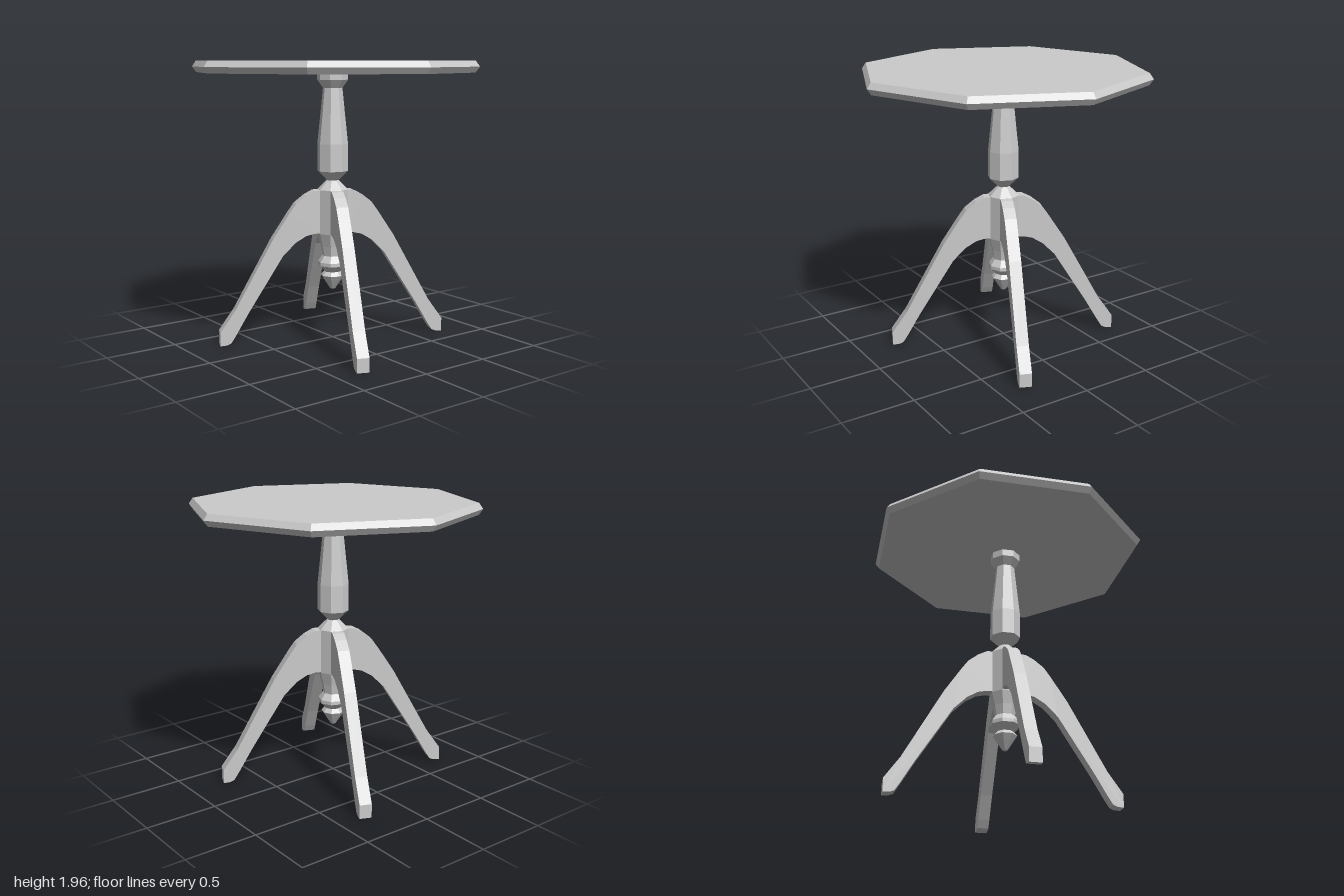
import * as THREE from 'three';

const material = new THREE.MeshStandardMaterial({ color: 0xcccccc, flatShading: true });

// Eight-sided turned part; profile runs bottom to top as [radius, height]
function turned(name, profile) {
  const points = profile.map(([r, y]) => new THREE.Vector2(r, y));
  const mesh = new THREE.Mesh(new THREE.LatheGeometry(points, 8), material);
  mesh.name = name;
  return mesh;
}

export function createModel() {
  const model = new THREE.Group();
  model.name = 'pedestalTable';

  // Octagonal top with a pointed edge
  model.add(turned('tableTop', [[0, 1.88], [0.972, 1.88], [1, 1.92], [0.972, 1.96], [0, 1.96]]));

  // Column with the finial below and the baluster above
  model.add(turned('column', [
    [0, 0.357], [0.018, 0.357], [0.06, 0.42], [0.084, 0.457], [0.06, 0.485],
    [0.105, 0.53], [0.105, 0.555], [0.072, 0.6], [0.085, 0.67], [0.108, 0.76],
    [0.108, 1.07], [0.042, 1.135], [0.108, 1.2], [0.108, 1.39], [0.088, 1.58],
    [0.068, 1.775], [0.108, 1.83], [0.108, 1.88], [0, 1.88],
  ]));

  // Curved leg outline, measured outward from the column axis
  const outline = [
    [0.09, 1.07], [0.14, 1.066], [0.2, 1.035], [0.27, 0.98], [0.32, 0.91], [0.435, 0.735],
    [0.705, 0.245], [0.81, 0.096], [0.81, 0],
    [0.765, 0.003], [0.735, 0.015], [0.7, 0.07], [0.61, 0.225], [0.365, 0.615],
    [0.275, 0.705], [0.2, 0.75], [0.14, 0.764], [0.09, 0.765],
  ];
  const width = 0.083;
  const shape = new THREE.Shape(outline.map(([r, y]) => new THREE.Vector2(r, y)));
  const legGeometry = new THREE.ExtrudeGeometry(shape, { depth: width, bevelEnabled: false });
  legGeometry.translate(0, 0, -width / 2);

  // Four legs, each on a flat face of the column
  for (let i = 0; i < 4; i++) {
    const leg = new THREE.Mesh(legGeometry, material);
    leg.name = `leg${i + 1}`;
    leg.rotation.y = -Math.PI / 8 + (i * Math.PI) / 2;
    model.add(leg);
  }
  return model;
}
